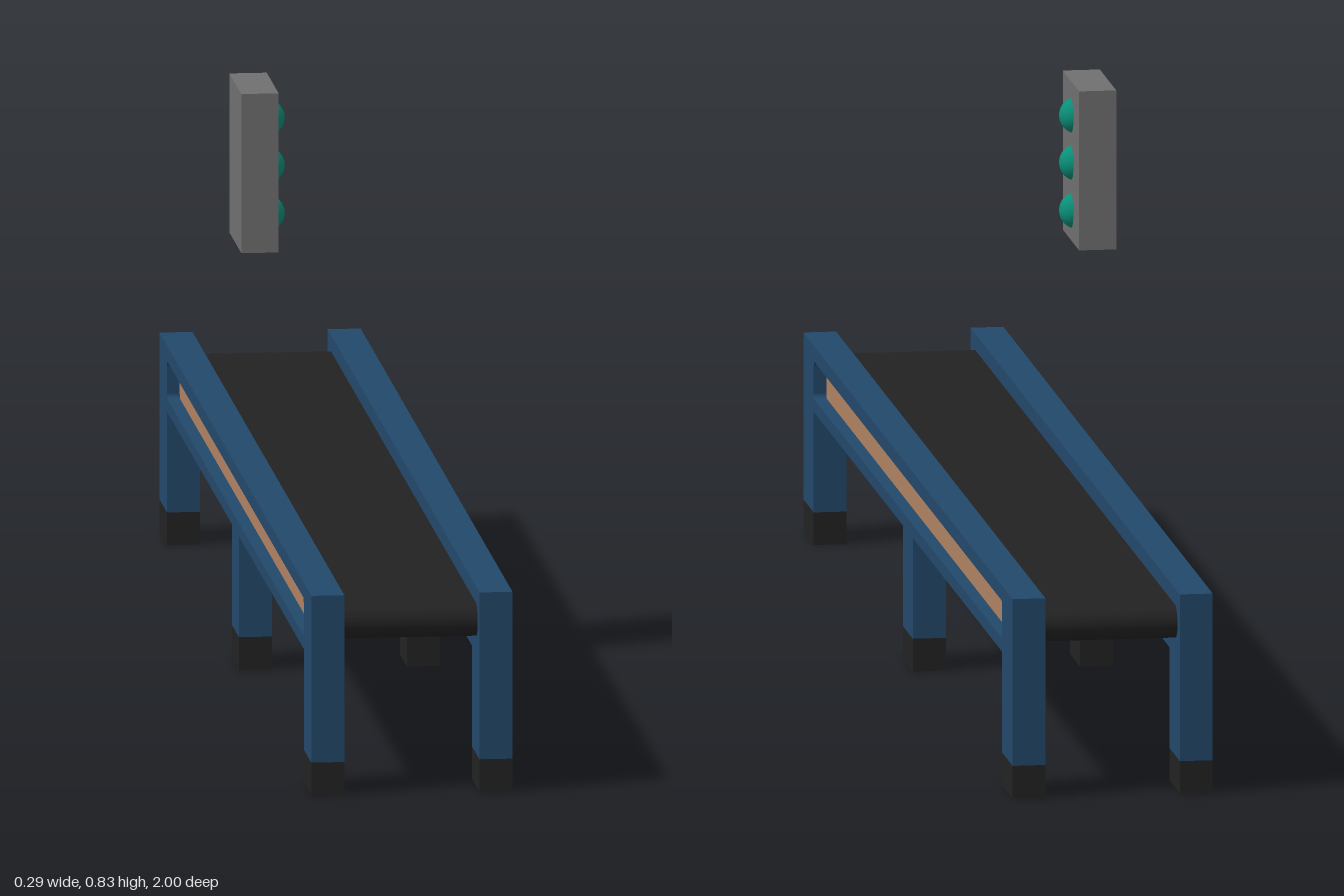
import * as THREE from 'three';

export function createModel() {
  const mat = (name, color) => {
    const m = new THREE.MeshStandardMaterial({ color });
    m.name = name;
    return m;
  };
  const blue = mat('frame blue', 0x22486b);
  const black = mat('belt black', 0x222222);
  const tan = mat('inlay tan', 0xb08262);
  const grey = mat('panel grey', 0x707070);
  const teal = mat('button teal', 0x0a8f78);

  const model = new THREE.Group();
  model.name = 'conveyor';

  const add = (parent, name, geometry, material, x = 0, y = 0, z = 0) => {
    const mesh = new THREE.Mesh(geometry, material);
    mesh.name = name;
    mesh.position.set(x, y, z);
    parent.add(mesh);
    return mesh;
  };

  // Rounded bar outline, centred on (0, cy)
  const roundedBar = (target, halfLength, cy, halfHeight, r) => {
    const x = halfLength - r, y = halfHeight - r;
    target.absarc(x, cy + y, r, 0, Math.PI / 2);
    target.absarc(-x, cy + y, r, Math.PI / 2, Math.PI);
    target.absarc(-x, cy - y, r, Math.PI, Math.PI * 1.5);
    target.absarc(x, cy - y, r, Math.PI * 1.5, Math.PI * 2);
    target.closePath();
    return target;
  };

  // Extrude a side profile (z, y) across the width, from x = 0 to x = width
  const extrudeAcross = (shape, width) =>
    new THREE.ExtrudeGeometry(shape, { depth: width, bevelEnabled: false, curveSegments: 8 })
      .rotateY(Math.PI / 2);

  // Side profile of rail and three legs
  const footTop = 0.047, railBottom = 0.192, railTop = 0.287;
  const frameShape = () => new THREE.Shape([
    [-1, footTop], [-0.9, footTop], [-0.9, railBottom], [-0.047, railBottom],
    [-0.047, footTop], [0.047, footTop], [0.047, railBottom], [0.9, railBottom],
    [0.9, footTop], [1, footTop], [1, railTop], [-1, railTop],
  ].map(([z, y]) => new THREE.Vector2(z, y)));

  const inner = 0.096, outer = 0.143, recess = 0.02;
  const slotted = frameShape();
  slotted.holes.push(roundedBar(new THREE.Path(), 0.9, 0.238, 0.027, 0.008));
  const innerGeometry = extrudeAcross(frameShape(), outer - inner - recess);
  const outerGeometry = extrudeAcross(slotted, recess);
  const inlayGeometry = extrudeAcross(roundedBar(new THREE.Shape(), 0.9, 0.238, 0.027, 0.008), 0.002);

  // Two matching side frames with recessed inlays and feet
  for (const [name, turn] of [['leftSide', 0], ['rightSide', Math.PI]]) {
    const side = new THREE.Group();
    side.name = name;
    side.rotation.y = turn;
    add(side, 'innerFrame', innerGeometry, blue, inner);
    add(side, 'slottedFrame', outerGeometry, blue, outer - recess);
    add(side, 'inlay', inlayGeometry, tan, outer - recess);
    for (const [z, depth] of [[-0.95, 0.1], [0, 0.094], [0.95, 0.1]]) {
      add(side, 'foot', new THREE.BoxGeometry(outer - inner, footTop, depth), black,
        (inner + outer) / 2, footTop / 2, z);
    }
    model.add(side);
  }

  // Belt loop with round ends
  add(model, 'belt', extrudeAcross(roundedBar(new THREE.Shape(), 0.977, 0.24, 0.0235, 0.0234), 2 * inner),
    black, -inner);

  // Floating control panel with three buttons
  const panel = new THREE.Group();
  panel.name = 'controlPanel';
  add(panel, 'panelBox', new THREE.BoxGeometry(0.053, 0.229, 0.157), grey, -0.1165, 0.72, 0);
  for (const y of [0.648, 0.717, 0.785]) {
    add(panel, 'button', new THREE.SphereGeometry(0.026, 24, 16), teal, -0.099, y, 0);
  }
  model.add(panel);

  return model;
}
